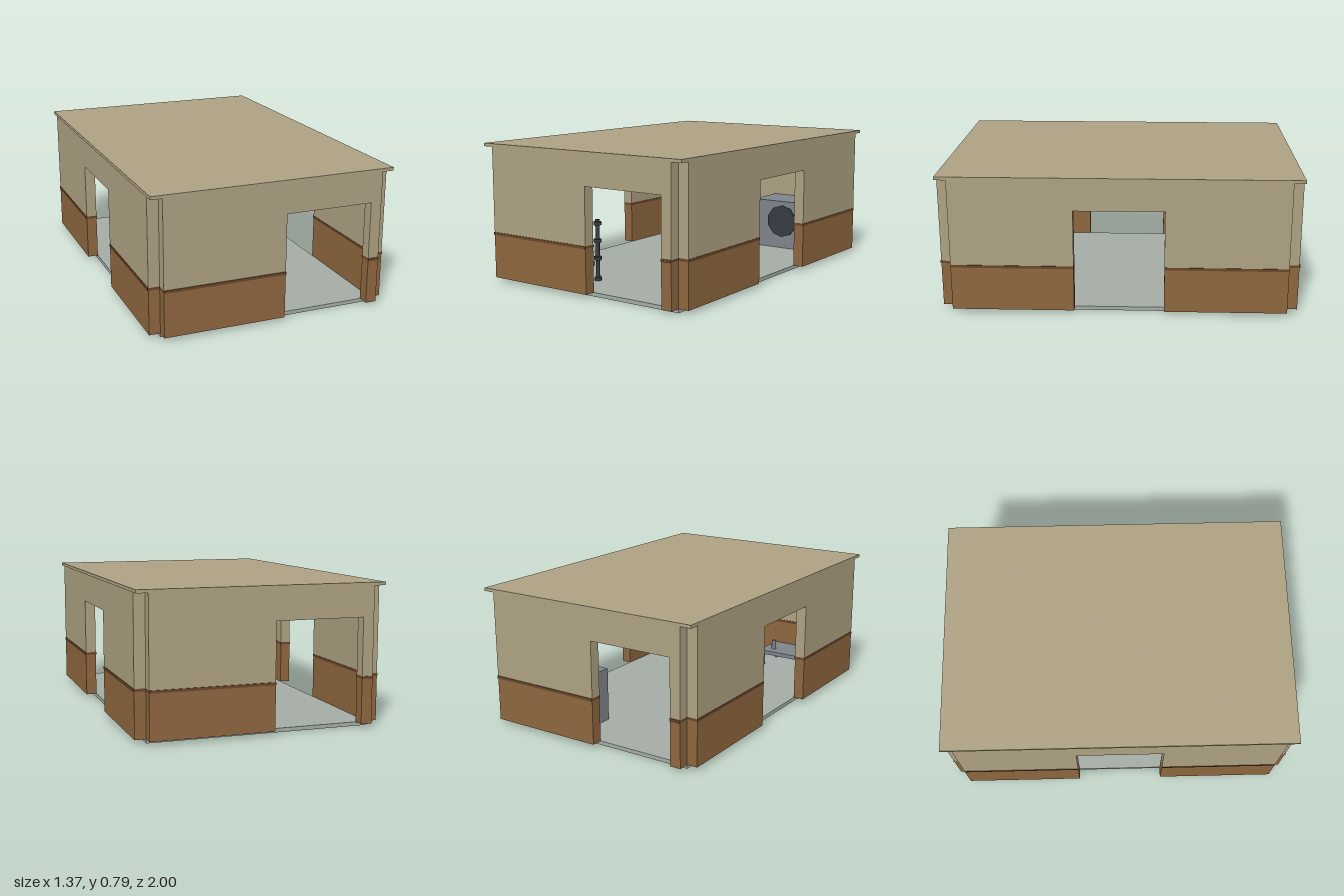
import * as THREE from 'three';

const mat = (name, color) => new THREE.MeshStandardMaterial({ name, color });

export function createModel() {
  const plaster = mat('plaster tan', 0xada182);
  const panel = mat('panel brown', 0x8d663e);
  const rail = mat('rail dark brown', 0x6a4629);
  const tile = mat('floor grey green', 0xa3aca4);
  const metal = mat('appliance grey', 0x7f848b);
  const dark = mat('dark glass', 0x363c43);

  const model = new THREE.Group();
  model.name = 'smallBuilding';

  // Box given by its two corners
  const box = (parent, name, material, x0, x1, y0, y1, z0, z1) => {
    const mesh = new THREE.Mesh(new THREE.BoxGeometry(x1 - x0, y1 - y0, z1 - z0), material);
    mesh.position.set((x0 + x1) / 2, (y0 + y1) / 2, (z0 + z1) / 2);
    mesh.name = name;
    parent.add(mesh);
    return mesh;
  };
  const rod = (parent, name, material, radius, height, sides, x, y, z) => {
    const mesh = new THREE.Mesh(new THREE.CylinderGeometry(radius, radius, height, sides), material);
    mesh.position.set(x, y, z);
    mesh.name = name;
    parent.add(mesh);
    return mesh;
  };

  const BASE = 0.022, RAIL0 = 0.27, RAIL1 = 0.285, DOOR = 0.605, TOP = 0.772;
  const HALF_X = 0.622, HALF_Z = 0.932;

  // Floor slab and flat roof
  box(model, 'floor', tile, -HALF_X, HALF_X, 0, BASE, -HALF_Z, HALF_Z);
  box(model, 'roof', plaster, -0.686, 0.686, TOP, 0.79, -0.996, 0.996);

  // Wall facing +z with a doorway: panelled piers, a rail and a lintel
  const wall = (name, half, inner, outer, door0, door1, proud, turn) => {
    const group = new THREE.Group();
    group.name = name;
    for (const [a, b] of [[-half, door0], [door1, half]]) {
      box(group, 'lowerPanel', panel, a, b, BASE, RAIL0, inner, outer);
      box(group, 'rail', rail, a, b, RAIL0, RAIL1, inner - proud, outer + proud);
      box(group, 'upperWall', plaster, a, b, RAIL1, TOP, inner, outer);
    }
    box(group, 'lintel', plaster, door0, door1, DOOR, TOP, inner, outer);
    group.rotation.y = turn;
    model.add(group);
  };
  wall('frontWall', HALF_X, HALF_Z, 0.995, 0.06, 0.56, 0.005, 0);
  wall('backWall', HALF_X, HALF_Z, 0.995, 0.06, 0.56, 0.005, Math.PI);
  wall('leftWall', HALF_Z, HALF_X, 0.683, -0.25, 0.25, 0.003, Math.PI / 2);
  wall('rightWall', HALF_Z, HALF_X, 0.683, -0.25, 0.25, 0.003, -Math.PI / 2);

  // Washing machine against the back wall
  const washer = new THREE.Group();
  washer.name = 'washer';
  box(washer, 'cabinet', metal, 0.1, 0.52, BASE, 0.33, -0.925, -0.655);
  rod(washer, 'roundDoor', dark, 0.104, 0.012, 10, 0.31, 0.2, -0.65).rotation.x = Math.PI / 2;
  box(washer, 'controlPanel', plaster, 0.425, 0.487, 0.275, 0.305, -0.656, -0.648);
  model.add(washer);

  // Low bench by the front wall
  const bench = new THREE.Group();
  bench.name = 'bench';
  box(bench, 'benchTop', metal, -0.52, -0.13, 0.1, 0.125, 0.7, 0.925);
  for (const x of [-0.5, -0.15]) {
    for (const z of [0.72, 0.905]) rod(bench, 'benchLeg', metal, 0.01, 0.1 - BASE, 8, x, (0.1 + BASE) / 2, z);
  }
  rod(bench, 'canister', metal, 0.015, 0.06, 10, -0.2, 0.155, 0.77);
  model.add(bench);

  // Dark stand with collars at the end of the bench
  const stand = new THREE.Group();
  stand.name = 'stand';
  rod(stand, 'standPole', dark, 0.012, 0.35, 8, -0.1, BASE + 0.175, 0.71);
  for (const y of [0.03, 0.15, 0.25, 0.35]) rod(stand, 'standCollar', dark, 0.022, 0.02, 8, -0.1, y, 0.71);
  model.add(stand);

  return model;
}
